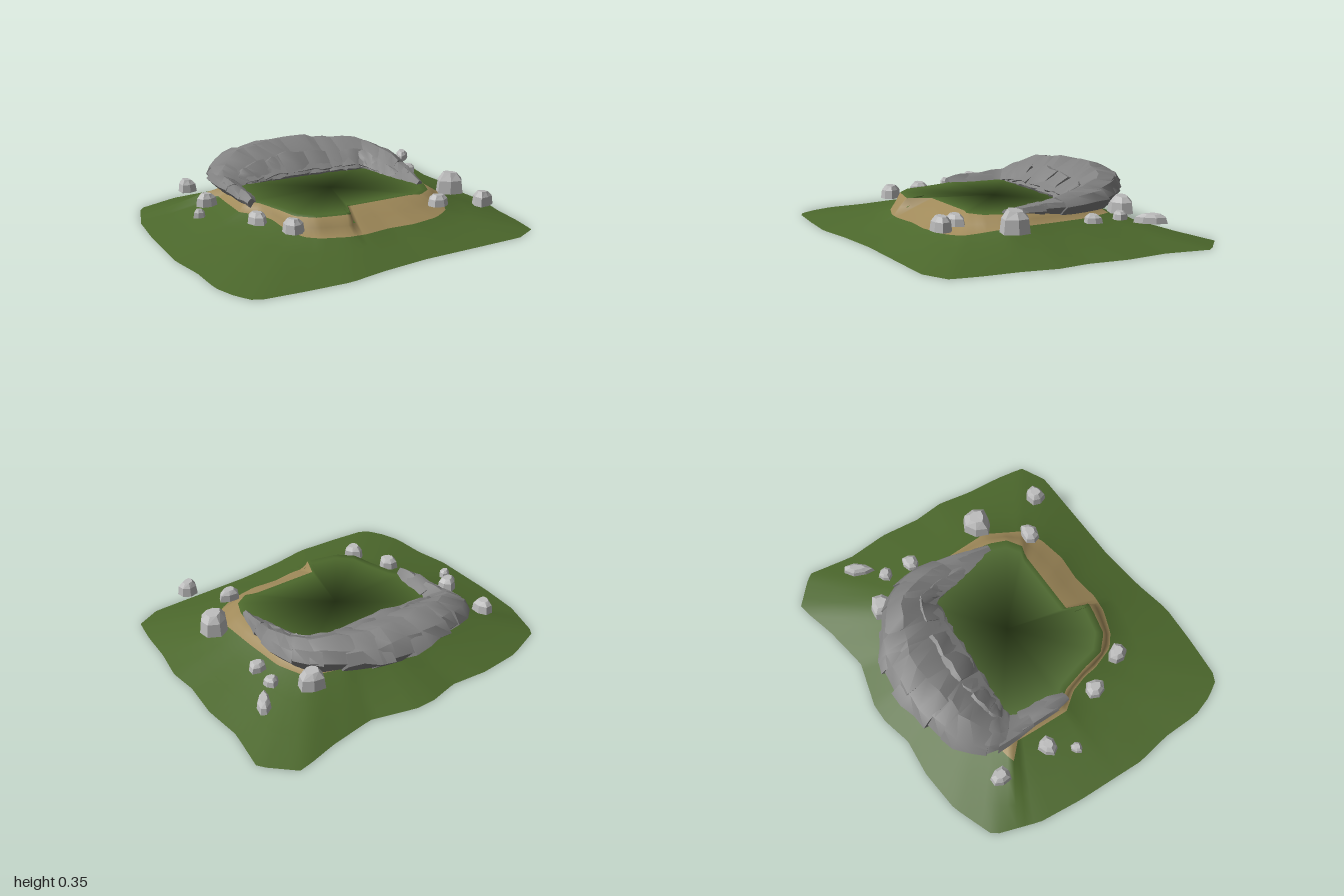
import * as THREE from 'three';
import { toCreasedNormals } from 'three/addons/utils/BufferGeometryUtils.js';

const grass = new THREE.MeshStandardMaterial({ name: 'grass green', color: 0x4c682c, side: THREE.DoubleSide });
const dirt = new THREE.MeshStandardMaterial({ name: 'dirt tan', color: 0xa08a5a, side: THREE.DoubleSide });
const cliff = new THREE.MeshStandardMaterial({ name: 'cliff grey', color: 0x828282 });
const stone = new THREE.MeshStandardMaterial({ name: 'stone light grey', color: 0xbababa });

// Seeded random numbers in -1..1
let seed = 7;
const rnd = () => {
  seed = (seed * 16807) % 2147483647;
  return (seed / 2147483647) * 2 - 1;
};

// Ground contours as [x, z] corners: outer rim, foot of the dirt bank, plateau edge
const RIM = [[-.86, -.7], [-.62, -.79], [-.38, -.81], [-.17, -.79], [0, -.83], [.11, -.83], [.36, -.76], [.62, -.8],
  [.85, -.86], [1, -.71], [.95, -.45], [.96, -.22], [.93, 0], [.94, .17], [.9, .36], [.88, .55], [.85, .71], [.71, .78],
  [.1, .79], [-.17, .82], [-.38, .86], [-.62, .85], [-.87, .83], [-.93, .73], [-.97, .6], [-.97, .39], [-1, .19],
  [-.99, 0], [-.98, -.2], [-.95, -.45]];
const FOOT = [[-.56, 0], [-.49, .1], [-.46, .2], [-.45, .28], [-.4, .42], [-.33, .48], [-.2, .53], [-.1, .54], [.05, .52],
  [.2, .53], [.36, .5], [.47, .44], [.51, .36], [.57, .24], [.57, 0], [.56, -.25], [.5, -.42], [.3, -.48], [0, -.5],
  [-.3, -.48], [-.5, -.42], [-.62, -.4], [-.62, -.37], [-.54, -.33], [-.55, -.2]];
const EDGE = [[-.51, 0], [-.47, .06], [-.43, .22], [-.41, .34], [-.33, .42], [-.2, .45], [-.14, .46], [-.11, .34],
  [.3, .34], [.36, .36], [.44, .31], [.48, .22], [.51, .08], [.5, -.2], [.45, -.35], [.25, -.42], [0, -.43], [-.25, -.42],
  [-.45, -.36], [-.49, -.2]];

// Distance from the centre to a contour in one direction
function reach(poly, a) {
  const c = Math.cos(a), s = Math.sin(a);
  let best = 0;
  poly.forEach(([x, z], i) => {
    const [x2, z2] = poly[(i + 1) % poly.length];
    const ex = x2 - x, ez = z2 - z, d = c * ez - s * ex;
    if (Math.abs(d) < 1e-9) return;
    const r = (x * ez - z * ex) / d, t = (x * s - z * c) / d;
    if (r > 0 && t >= -1e-6 && t <= 1 + 1e-6) best = Math.max(best, r);
  });
  return best;
}

// Ground sheet: concentric rings from the plateau down to the rim
function makeGround() {
  const N = 144, pos = [], idx = [], geo = new THREE.BufferGeometry();
  // Each ring blends contour A to contour B and keeps a share of the foot height
  const rings = [[EDGE, EDGE, 0, 0], [EDGE, EDGE, .92, 0], [EDGE, EDGE, 1, 0], [EDGE, FOOT, .5, .5], [EDGE, FOOT, 1, 1],
    [FOOT, RIM, .3, .65], [FOOT, RIM, .65, .3], [FOOT, RIM, 1, 0]];
  rings.forEach(([A, B, t, k], ri) => {
    for (let i = 0; i < N; i++) {
      const a = (i / N) * Math.PI * 2, ra = reach(A, a), rb = reach(B, a);
      const r = A === B ? ra * t : ra + (rb - ra) * t;
      const foot = .13 - .04 * THREE.MathUtils.smoothstep(Math.sin(a), .3, .8);
      const y = ri < 3 ? .182 : ri < 5 ? .182 + (foot - .182) * k : foot * k;
      pos.push(r * Math.cos(a), y, r * Math.sin(a));
    }
  });
  for (let r = 0; r < rings.length - 1; r++) {
    for (let i = 0; i < N; i++) {
      const j = (i + 1) % N, a = r * N + i, b = r * N + j;
      idx.push(a, b, a + N, b, b + N, a + N);
      if (r === 0) idx.splice(-6, 3); // the centre ring is a single point
    }
  }
  // Wind faces upward
  for (let k = 0; k < idx.length; k += 3) [idx[k + 1], idx[k + 2]] = [idx[k + 2], idx[k + 1]];
  geo.setAttribute('position', new THREE.Float32BufferAttribute(pos, 3));
  geo.setIndex(idx);
  geo.computeVertexNormals();
  for (let i = 0; i < N; i++) geo.attributes.normal.setXYZ(i, 0, 1, 0);
  const plateau = N * 3 + N * 6, bank = N * 12;
  geo.addGroup(0, plateau, 0);
  geo.addGroup(plateau, bank, 1);
  geo.addGroup(plateau + bank, idx.length - plateau - bank, 0);
  return new THREE.Mesh(geo, [grass, dirt]);
}

// Cliff stations along the horseshoe: inner x, inner z, outer x, outer z, crest height
const PATH = [[-.46, .03, -.53, .04, .205], [-.43, -.08, -.55, -.06, .22], [-.42, -.22, -.54, -.24, .23],
  [-.4, -.28, -.55, -.42, .24], [-.34, -.28, -.52, -.53, .28], [-.25, -.28, -.35, -.65, .33], [-.15, -.28, -.19, -.69, .355],
  [0, -.27, 0, -.72, .345], [.15, -.27, .2, -.7, .34], [.25, -.25, .34, -.62, .325], [.36, -.24, .5, -.5, .325],
  [.38, -.14, .57, -.34, .28], [.39, -.05, .58, -.15, .25], [.41, .05, .53, .03, .23], [.43, .2, .48, .2, .2]];
const station = (u) => {
  const i = Math.min(PATH.length - 2, Math.max(0, Math.floor(u)));
  return PATH[i].map((v, k) => v + (PATH[i + 1][k] - v) * (u - i));
};
// Slab section: share of the way outward, share of the crest height
const SECTION = [[.1, 0], [0, .3], [.3, .68], [.6, 1], [.88, .85], [1, .5], [.78, 0]];

// Closed rock slab between two path positions, covering depth t0..t1
function slab(u0, u1, t0, t1, lift) {
  const M = SECTION.length, rows = 4, pos = [], idx = [];
  for (let r = 0; r < rows; r++) {
    const [ix, iz, ox, oz, h] = station(u0 + (u1 - u0) * (r / (rows - 1)));
    const end = r === 0 || r === rows - 1 ? .93 : 1;
    SECTION.forEach(([s, k]) => {
      const t = t0 + (t1 - t0) * s + rnd() * .03;
      const y = .155 + (h - .155) * k * lift * end + (k ? rnd() * .006 : 0);
      pos.push(ix + (ox - ix) * t, y, iz + (oz - iz) * t);
    });
  }
  for (let r = 0; r < rows - 1; r++) {
    for (let j = 0; j < M; j++) {
      const k = (j + 1) % M, a = r * M + j, b = r * M + k;
      idx.push(a, a + M, b, b, a + M, b + M);
    }
  }
  const e = (rows - 1) * M;
  for (let j = 1; j < M - 1; j++) idx.push(0, j, j + 1, e, e + j + 1, e + j);
  const geo = new THREE.BufferGeometry();
  geo.setAttribute('position', new THREE.Float32BufferAttribute(pos, 3));
  geo.setIndex(idx);
  return new THREE.Mesh(toCreasedNormals(geo, .7), cliff);
}

// Loose stones: x, z, radius x, radius z, bottom, top, turn
const STONES = [[-.65, -.5, .05, .06, .13, .2, 0], [-.66, -.2, .058, .05, .13, .2, 1], [-.755, -.075, .035, .03, .115, .16, 2],
  [-.55, .2, .052, .06, .13, .19, .5], [-.46, .42, .05, .06, .13, .205, 2.4], [.41, .45, .064, .05, .14, .2, .4],
  [.58, .61, .058, .05, .16, .238, 1.3], [.64, .24, .086, .08, .125, .242, 2], [.52, -.49, .075, .07, .13, .225, .3],
  [.8, -.48, .035, .088, .125, .175, -.6], [.68, -.365, .04, .04, .135, .18, .9], [.66, -.21, .052, .045, .13, .175, 1.8]];

// Faceted stone with a shouldered taper and slightly tilted top
function makeStone([x, z, rx, rz, y0, y1, turn]) {
  let geo = new THREE.CylinderGeometry(.5, 1, 1, 7, 2);
  const p = geo.attributes.position;
  for (let i = 0; i < p.count; i++) {
    const px = p.getX(i), py = p.getY(i), pz = p.getZ(i);
    const w = (Math.abs(py) < .1 ? 1.18 : 1) * (1 + .1 * Math.sin(3 * Math.atan2(pz, px) + turn * 5));
    p.setXYZ(i, px * w, py > .4 ? py - .1 * (px + .5) : py + (Math.abs(py) < .1 ? .12 : 0), pz * w);
  }
  geo = geo.toNonIndexed();
  geo.computeVertexNormals();
  const mesh = new THREE.Mesh(geo, stone);
  mesh.scale.set(rx, y1 - y0, rz);
  mesh.position.set(x, (y0 + y1) / 2, z);
  mesh.rotation.y = turn > 0 ? turn * .2 : turn;
  return mesh;
}

export function createModel() {
  const model = new THREE.Group();
  const add = (mesh, name, parent = model) => {
    mesh.name = name;
    parent.add(mesh);
  };
  add(makeGround(), 'ground');

  // Small fold of turf in the front bank
  const fold = new THREE.BufferGeometry().setFromPoints([[-.155, .135, .47], [-.125, .135, .47], [-.135, .19, .36],
    [-.155, .18, .455], [-.155, .135, .47], [-.135, .19, .36]].map((v) => new THREE.Vector3(...v)));
  fold.computeVertexNormals();
  add(new THREE.Mesh(fold, grass), 'turfFold');

  // Horseshoe cliff: overlapping main slabs, then low ledges along the inner side
  const cliffs = new THREE.Group();
  add(cliffs, 'cliff');
  for (let i = 0; i < PATH.length - 1; i++) {
    const ends = [Math.max(0, i - .2), Math.min(PATH.length - 1, i + 1.2)];
    add(slab(...ends, 0, 1 + rnd() * .04, 1 + rnd() * .05), 'cliffSlab', cliffs);
  }
  for (let u = 3.5; u < 12; u += .9) add(slab(u, u + 1.05, -.03, .45, .72 + rnd() * .08), 'cliffLedge', cliffs);

  const stones = new THREE.Group();
  add(stones, 'stones');
  STONES.forEach((s) => add(makeStone(s), 'stone', stones));
  return model;
}
